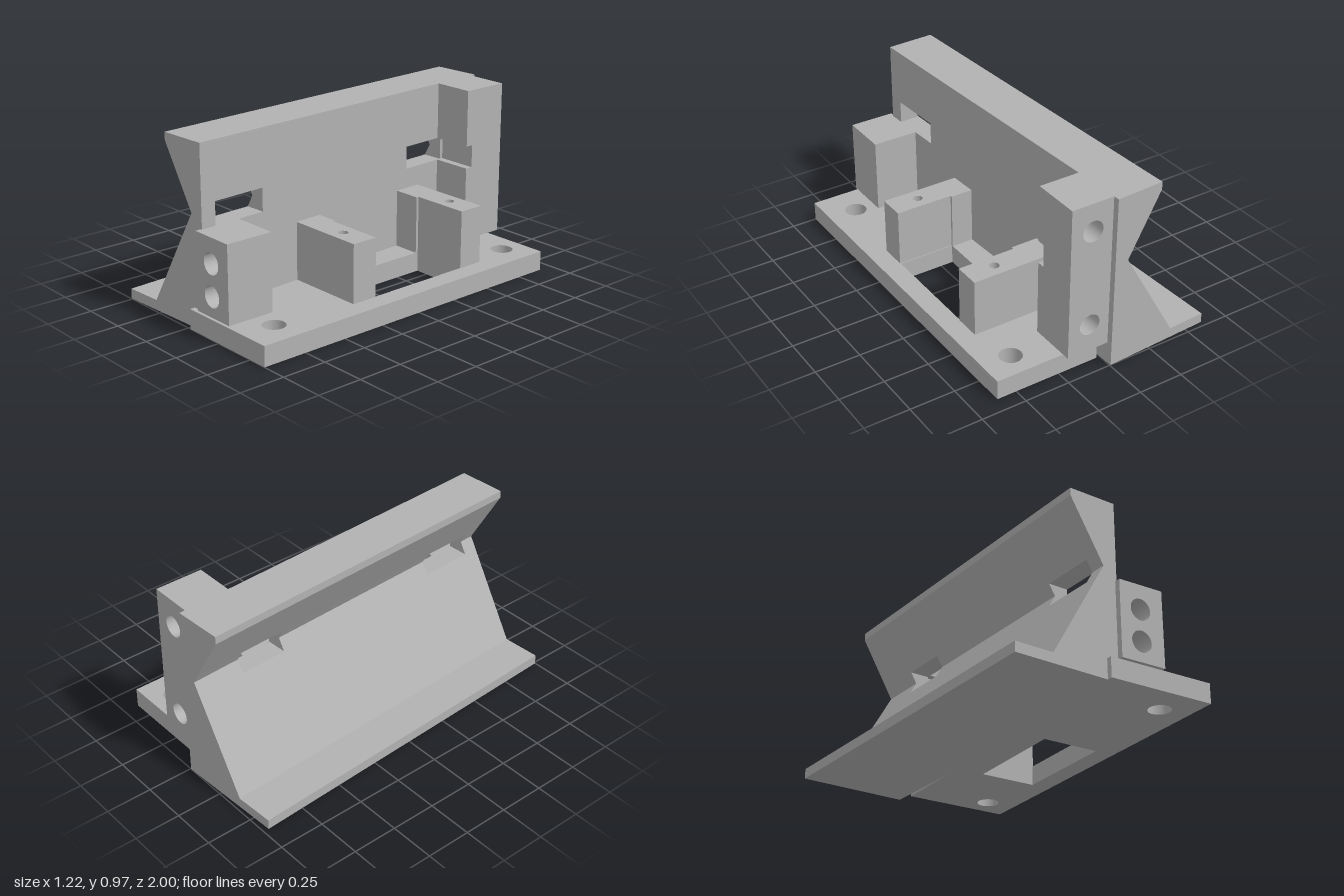
import * as THREE from 'three';

const grey = new THREE.MeshStandardMaterial({ color: 0xb2b2b2 });
grey.name = 'grey plastic';

function add(parent, name, geometry) {
  const mesh = new THREE.Mesh(geometry, grey);
  mesh.name = name;
  parent.add(mesh);
  return mesh;
}

// Box given by its limits
function box(x0, x1, y0, y1, z0, z1) {
  return new THREE.BoxGeometry(x1 - x0, y1 - y0, z1 - z0)
    .translate((x0 + x1) / 2, (y0 + y1) / 2, (z0 + z1) / 2);
}

// Polygon in x, y with round holes [x, y, r]
function outline(points, holes = []) {
  const shape = new THREE.Shape(points.map(([x, y]) => new THREE.Vector2(x, y)));
  for (const [x, y, r] of holes) {
    shape.holes.push(new THREE.Path().absarc(x, y, r, 0, Math.PI * 2, true));
  }
  return shape;
}

const rect = (x0, x1, y0, y1) => [[x0, y0], [x1, y0], [x1, y1], [x0, y1]];

// Shape pushed along z from z0 to z1
function alongZ(shape, z0, z1) {
  return new THREE.ExtrudeGeometry(shape, { depth: z1 - z0, bevelEnabled: false, curveSegments: 32 })
    .translate(0, 0, z0);
}

// Plan shape (x, -z) pushed upwards from y0 to y1
function upward(shape, y0, y1) {
  return alongZ(shape, y0, y1).rotateX(-Math.PI / 2);
}

export function createModel() {
  const model = new THREE.Group();
  model.name = 'angled mounting bracket';

  // Base plate with two bolt holes and a rectangular window
  const plate = outline(rect(0.02, 0.61, -1, 0.915), [[0.445, 0.78, 0.06], [0.445, -0.81, 0.06]]);
  plate.holes.push(new THREE.Path(
    rect(0.18, 0.5, -0.2, 0.4).reverse().map(([x, y]) => new THREE.Vector2(x, y))));
  add(model, 'basePlate', upward(plate, 0, 0.108));

  // V-shaped rail wall, turned slightly about the vertical
  const rail = new THREE.Group();
  rail.name = 'railWall';
  rail.position.set(0.045, 0, -0.017);
  rail.rotation.y = 0.051;
  model.add(rail);

  const end = 0.985;
  const slotLow = 0.535, slotHigh = 0.66;
  const lower = [[0, 0], [0, slotLow], [-0.115, slotLow], [-0.39, 0.055], [-0.605, 0.055], [-0.605, 0]];
  const waist = [[0, slotLow], [0, slotHigh], [-0.1125, slotHigh], [-0.078, 0.6], [-0.115, slotLow]];
  const upper = [[0, slotHigh], [0, 0.97], [-0.268, 0.97], [-0.268, 0.928], [-0.1125, slotHigh]];
  add(rail, 'lowerWall', alongZ(outline(lower), -end, end));
  add(rail, 'upperWall', alongZ(outline(upper), -end, end));
  // Waist pieces leave two strap slots between them
  for (const [z0, z1] of [[-end, -0.71], [-0.44, 0.597], [0.9, end]]) {
    add(rail, 'waistWall', alongZ(outline(waist), z0, z1));
  }

  // Tall rear block: blind holes at the back, notch beside the slot
  const rear = new THREE.Group();
  rear.name = 'rearBlock';
  model.add(rear);
  const rearFace = outline(rect(-0.02, 0.235, 0.12, 0.97), [[0.11, 0.815, 0.058], [0.11, 0.275, 0.058]]);
  add(rear, 'rearBlockHoles', alongZ(rearFace, -0.968, -0.79));
  add(rear, 'rearBlockCore', box(-0.02, 0.235, 0.12, 0.97, -0.79, -0.745));
  add(rear, 'rearBlockLower', box(-0.02, 0.235, 0.12, slotLow, -0.745, -0.703));
  add(rear, 'rearBlockUpper', box(-0.02, 0.235, slotHigh, 0.97, -0.745, -0.703));

  // Short front block with two blind holes
  const front = new THREE.Group();
  front.name = 'frontBlock';
  model.add(front);
  const frontFace = outline(rect(0.087, 0.34, 0.12, 0.535), [[0.207, 0.4, 0.058], [0.207, 0.23, 0.058]]);
  add(front, 'frontBlockHoles', alongZ(frontFace, 0.79, 1));
  add(front, 'frontBlockCore', box(0.075, 0.34, 0.12, 0.535, 0.735, 0.79));

  // Two mounting posts beside the window, each with a small screw hole
  for (const [name, z0, z1, s0, s1] of [
    ['rearPost', -0.545, -0.4, -0.4, -0.385],
    ['frontPost', 0.205, 0.352, 0.193, 0.205],
  ]) {
    const post = new THREE.Group();
    post.name = name;
    model.add(post);
    const top = outline(rect(0.02, 0.503, -z1, -z0), [[0.34, -(z0 + z1) / 2, 0.026]]);
    add(post, name + 'Top', upward(top, 0.22, 0.425));
    add(post, name + 'Foot', box(0.02, 0.503, 0.1, 0.22, z0, z1));
    add(post, name + 'Step', box(0.02, 0.18, 0.1, 0.425, s0, s1));
  }

  return model;
}
